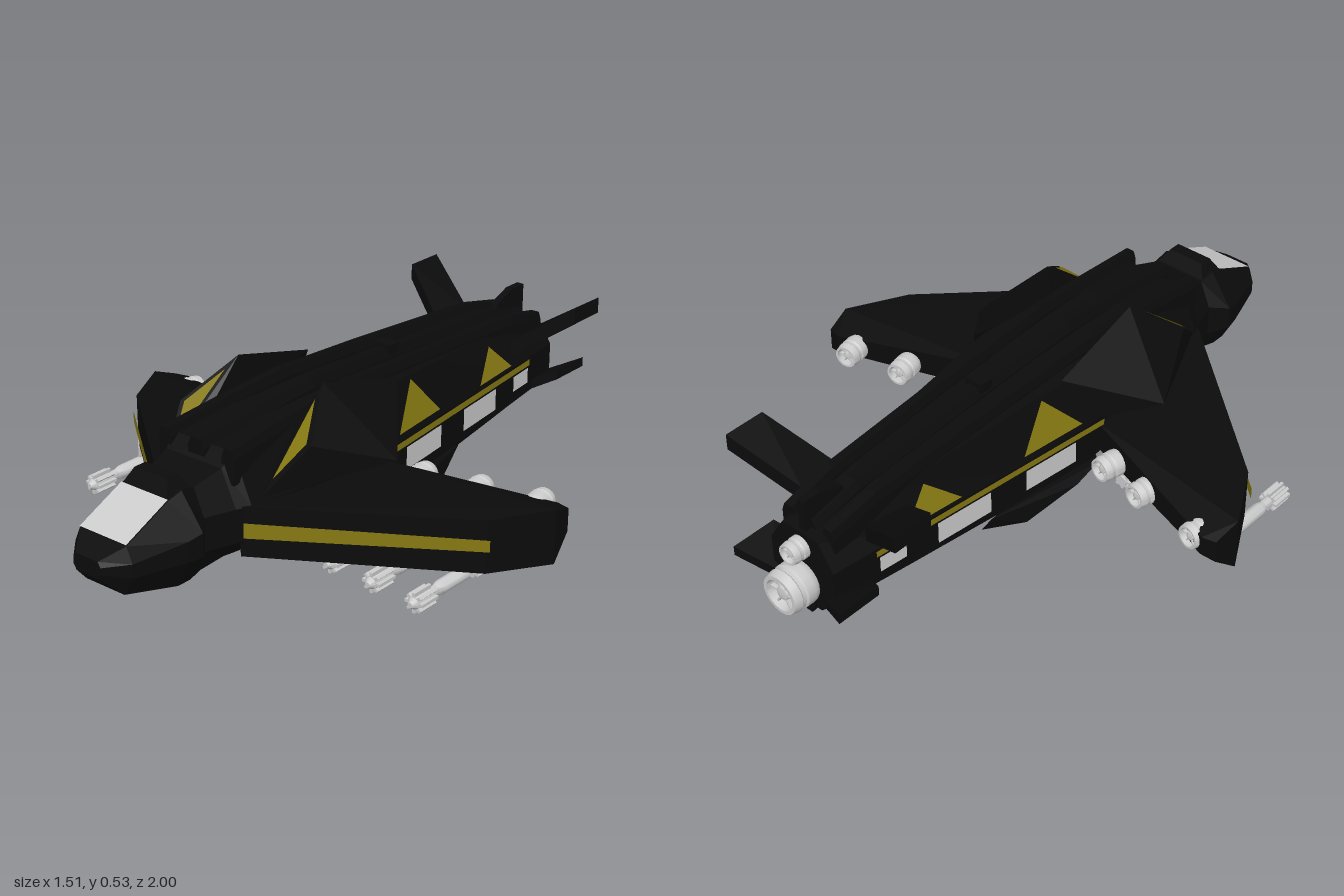
import * as THREE from 'three';
import { mergeGeometries, toCreasedNormals } from 'three/addons/utils/BufferGeometryUtils.js';
import { ConvexGeometry } from 'three/addons/geometries/ConvexGeometry.js';

const black = new THREE.MeshStandardMaterial({ color: 0x0b0b0b, flatShading: true });
const yellow = new THREE.MeshStandardMaterial({ color: 0x857812, side: THREE.DoubleSide });
const grey = new THREE.MeshStandardMaterial({ color: 0xcccccc, side: THREE.DoubleSide });

export function createModel() {
  const model = new THREE.Group();
  const add = (name, geometry, material, parent = model) => {
    const mesh = new THREE.Mesh(geometry, material);
    mesh.name = name;
    parent.add(mesh);
    return mesh;
  };
  const flip = (pts, s) => pts.map(([x, y, z]) => new THREE.Vector3(x * s, y, z));
  const solid = (name, pts, s = 1) => add(name, new ConvexGeometry(flip(pts, s)), black);
  // flat convex polygon, corners in order
  const panel = (name, pts, material, s = 1) => {
    const g = new THREE.BufferGeometry().setFromPoints(flip(pts, s));
    const index = [];
    for (let i = 1; i < pts.length - 1; i++) index.push(...(s > 0 ? [0, i, i + 1] : [0, i + 1, i]));
    g.setIndex(index);
    g.computeVertexNormals();
    return add(name, g, material);
  };
  // eight-sided loft: z, half widths (top, middle, bottom), heights (top, upper side, lower side, bottom)
  const loft = (sections) => {
    const v = [], index = [], n = 8;
    for (const [z, t, m, b, yt, yh, yl, yb] of sections) {
      v.push(t, yt, z, -t, yt, z, -m, yh, z, -m, yl, z, -b, yb, z, b, yb, z, m, yl, z, m, yh, z);
    }
    for (let k = 0; k < sections.length - 1; k++) {
      for (let i = 0; i < n; i++) {
        const a = k * n + i, b = k * n + (i + 1) % n;
        index.push(a, a + n, b, b, a + n, b + n);
      }
    }
    const last = (sections.length - 1) * n;
    for (let i = 1; i < n - 1; i++) index.push(0, i, i + 1, last, last + i + 1, last + i);
    const g = new THREE.BufferGeometry();
    g.setAttribute('position', new THREE.Float32BufferAttribute(v, 3));
    g.setIndex(index);
    const flat = g.toNonIndexed();
    flat.computeVertexNormals();
    return flat;
  };

  // fuselage
  const side = (z) => 0.215 + 0.108 * z;
  const rear = (z, yt, yl, wb, yb) => [z, side(z) - 0.05, side(z), wb, yt, 0.28, yl, yb];
  add('fuselage', loft([
    [1.0, 0.04, 0.05, 0.04, 0.25, 0.235, 0.215, 0.2],
    [0.94, 0.085, 0.105, 0.07, 0.285, 0.24, 0.2, 0.14],
    [0.785, 0.085, 0.155, 0.11, 0.355, 0.26, 0.2, 0.115],
    [0.74, 0.09, 0.163, 0.11, 0.37, 0.27, 0.2, 0.115],
    [0.69, 0.085, 0.12, 0.1, 0.36, 0.28, 0.18, 0.12],
    [0.6, 0.1, 0.15, 0.1, 0.385, 0.28, 0.18, 0.125],
    [0.56, 0.11, 0.17, 0.1, 0.42, 0.28, 0.18, 0.12],
    [0.35, 0.13, 0.2, 0.1, 0.435, 0.28, 0.16, 0.1],
    rear(0, 0.435, 0.15, 0.1, 0.06), rear(-0.3, 0.42, 0.15, 0.1, 0.06),
    rear(-0.65, 0.4, 0.16, 0.08, 0.095), rear(-0.91, 0.36, 0.17, 0.06, 0.118),
  ]), black);

  // cockpit
  panel('windshield', [[-0.085, 0.289, 0.941], [0.085, 0.289, 0.941], [0.085, 0.359, 0.786], [-0.085, 0.359, 0.786]], grey);
  solid('canopyHump', [-1, 1].flatMap((s) => [[s * 0.085, 0.35, 0.79], [s * 0.06, 0.4, 0.76], [s * 0.06, 0.4, 0.72], [s * 0.09, 0.35, 0.69]]));
  solid('chin', [-1, 1].flatMap((s) => [[s * 0.07, 0.14, 0.93], [s * 0.06, 0.09, 0.755], [s * 0.1, 0.125, 0.78], [s * 0.09, 0.15, 0.72]]));

  // long rails on the back
  const railLine = [[0.59, 0.44], [0.35, 0.46], [0.14, 0.472], [-0.2, 0.457], [-0.72, 0.425], [-0.88, 0.39]];
  for (const [x0, x1, w] of [[0, 0, 0.03], [0.115, 0.075, 0.022], [-0.115, -0.075, 0.022]]) {
    const g = loft(railLine.map(([z, y]) => [z, w * 0.6, w, w, y, y - 0.025, y - 0.05, y - 0.1]));
    const p = g.attributes.position;
    for (let i = 0; i < p.count; i++) p.setX(i, p.getX(i) + THREE.MathUtils.mapLinear(p.getZ(i), 0.59, -0.88, x0, x1));
    add('backRail', g, black);
  }
  add('backHatch', new THREE.BoxGeometry(0.06, 0.03, 0.045), black).position.set(0, 0.455, -0.22);
  solid('centreFin', [-0.012, 0.012].flatMap((x) => [[x, 0.46, -0.84], [x, 0.46, -0.9], [x, 0.28, -0.9], [x, 0.3, -0.72], [x, 0.43, -0.76]]));

  for (const s of [1, -1]) {
    // wing with deep leading edge
    solid('wing', [
      [0.15, 0.285, 0.59], [0.15, 0.135, 0.585], [0.655, 0.245, 0.17], [0.655, 0.085, 0.17],
      [0.755, 0.24, -0.01], [0.755, 0.075, -0.01], [0.742, 0.21, -0.09], [0.742, 0.14, -0.09],
      [0.7, 0.21, -0.1], [0.7, 0.15, -0.1], [0.2, 0.25, 0.06], [0.2, 0.16, 0.06],
    ], s);
    panel('wingStripe', [[0.165, 0.195, 0.589], [0.67, 0.155, 0.172], [0.67, 0.19, 0.172], [0.165, 0.24, 0.589]], yellow, s);

    // shoulder peak with a coloured inset on its front facet
    const facet = [[0.155, 0.533, 0.25], [0.18, 0.3, 0.53], [0.24, 0.42, 0.4]];
    solid('shoulder', [...facet, [0.14, 0.4, 0.25], [0.14, 0.3, 0.5], [0.353, 0.33, 0.17],
      [0.215, 0.31, 0.17], [0.165, 0.45, -0.06], [0.2, 0.3, -0.02]], s);
    const mid = [0, 1, 2].map((k) => (facet[0][k] + facet[1][k] + facet[2][k]) / 3);
    const lift = [-0.0006, 0.003, 0.0026];
    panel('shoulderInset', facet.map((p) => p.map((c, k) => mid[k] + (c - mid[k]) * 0.7 + lift[k])), yellow, s);

    // side stripe, windows and triangles
    const onSide = (z, y) => [side(z) + 0.004 - 0.05 * Math.max(0, y - 0.28) / (0.435 + 0.054 * Math.min(z, 0) - 0.28), y, z];
    const strip = (name, z0, z1, y0, y1, material) =>
      panel(name, [onSide(z0, y0), onSide(z1, y0), onSide(z1, y1), onSide(z0, y1)], material, s);
    strip('sideStripe', 0.06, -0.77, 0.256, 0.276, yellow);
    strip('window', -0.05, -0.24, 0.18, 0.25, grey);
    strip('window', -0.37, -0.56, 0.18, 0.25, grey);
    strip('window', -0.67, -0.76, 0.2, 0.25, grey);
    panel('sideTriangle', [onSide(-0.02, 0.298), onSide(-0.24, 0.298), onSide(-0.135, 0.42)], yellow, s);
    panel('sideTriangle', [onSide(-0.47, 0.29), onSide(-0.66, 0.29), onSide(-0.57, 0.375)], yellow, s);

    // belly strake
    solid('bellyStrake', [[0.14, 0.13, 0.1], [0.225, 0.13, 0.04], [0.23, 0.11, -0.06], [0.195, 0.065, -0.02],
      [0.195, 0.065, -0.24], [0.12, 0.06, -0.1], [0.14, 0.09, -0.37], [0.17, 0.14, -0.36]], s);

    // tail fins, as slabs with a root and a tip edge
    const fin = (name, tip, root, thick) => solid(name, [...tip, ...root].flatMap(([x, y, z]) => [[x, y, z], [x, y - thick, z]]), s);
    fin('upperTailFin', [[0.312, 0.495, -0.87], [0.312, 0.495, -0.74]], [[0.12, 0.37, -0.79], [0.14, 0.37, -0.655]], 0.05);
    fin('lowerTailFin', [[0.2, 0.235, -0.975], [0.2, 0.235, -0.83]], [[0.09, 0.18, -0.92], [0.1, 0.18, -0.78]], 0.03);
  }
  solid('tailKeel', [[-0.05, 0.16, -0.7], [0.05, 0.16, -0.7], [0.04, 0.11, -0.925], [-0.04, 0.11, -0.925], [0.05, 0.16, -0.91], [-0.05, 0.16, -0.91]]);

  // round nozzle pointing back, origin at its front
  const nozzleGeometry = (r, len) => {
    const profile = [[0, 0], [0.75, 0], [0.95, 0.15], [1, 0.3], [1, 0.55], [0.92, 0.6], [0.92, 0.7], [0.98, 0.75],
      [0.88, 1], [0.72, 1], [0.66, 0.7], [0.35, 0.7], [0.3, 0.9], [0, 0.95]];
    const bell = new THREE.LatheGeometry(profile.map(([a, b]) => new THREE.Vector2(a * r, b * len)), 18);
    const parts = [toCreasedNormals(bell, 0.6)];
    for (let i = 0; i < 6; i++) {
      const vane = new THREE.BoxGeometry(r * 0.4, len * 0.12, r * 0.08).toNonIndexed();
      vane.translate(r * 0.5, len * 0.82, 0).rotateY(i * Math.PI / 3);
      parts.push(vane);
    }
    return mergeGeometries(parts).rotateX(-Math.PI / 2);
  };
  add('mainEngine', nozzleGeometry(0.068, 0.1), grey).position.set(0, 0.198, -0.9);
  add('upperEngine', nozzleGeometry(0.035, 0.075), grey).position.set(0, 0.312, -0.885);

  // wing engines along the trailing edge
  const pod = nozzleGeometry(0.04, 0.085);
  for (const [x, z] of [[0.29, 0.015], [0.465, -0.015], [0.645, -0.055], [-0.31, 0.04], [-0.455, 0.015], [-0.67, -0.02]]) {
    const engine = add('wingEngine', pod, grey);
    engine.position.set(x, 0.185, z);
    engine.rotation.y = Math.sign(x) * 0.18;
  }

  // missiles on thin pylons
  const rod = (r0, r1, z0, z1) =>
    new THREE.CylinderGeometry(r1, r0, z1 - z0, 12).rotateX(Math.PI / 2).translate(0, 0, (z0 + z1) / 2).toNonIndexed();
  const parts = [rod(0.015, 0.015, 0.08, 0.37), rod(0.021, 0.021, 0.16, 0.27), rod(0.021, 0.015, 0.27, 0.29),
    rod(0.02, 0.02, 0.32, 0.385), rod(0.018, 0.008, 0.385, 0.4), rod(0.018, 0.02, 0.07, 0.12)];
  for (let i = 0; i < 8; i++) {
    for (const [z, len] of [[0.35, 0.07], [0.1, 0.05]]) {
      parts.push(new THREE.BoxGeometry(0.012, 0.009, len).translate(0.024, 0, z).rotateZ(i * Math.PI / 4).toNonIndexed());
    }
  }
  const missile = toCreasedNormals(mergeGeometries(parts), 0.7);
  for (const [x, y] of [[0.29, 0.08], [0.435, 0.07], [0.58, 0.06], [-0.285, 0.07], [-0.44, 0.055], [-0.635, 0.03]]) {
    const group = new THREE.Group();
    group.name = 'missile';
    group.position.set(x, y, 0);
    add('missileBody', missile, grey, group);
    add('pylon', new THREE.BoxGeometry(0.005, 0.08, 0.04), grey, group).position.set(0, 0.05, 0.17);
    model.add(group);
  }
  return model;
}
